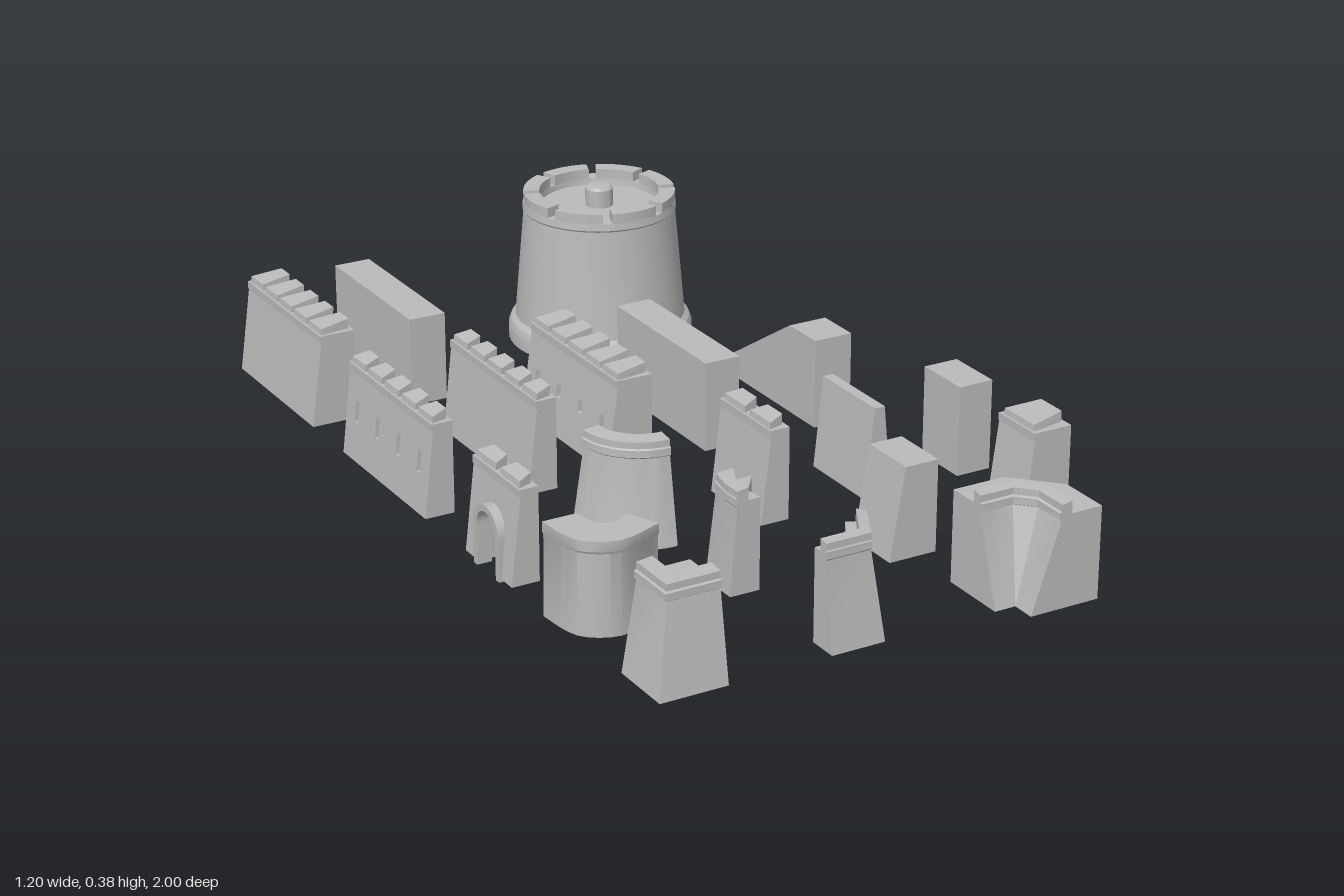
import * as THREE from 'three';
import { toCreasedNormals } from 'three/addons/utils/BufferGeometryUtils.js';
import { ConvexGeometry } from 'three/addons/geometries/ConvexGeometry.js';

const Y0 = 0.007;   // foot of the walls
const TOP = 0.218;  // wall top

export function createModel() {
  const model = new THREE.Group();
  const stone = new THREE.MeshStandardMaterial({ color: 0xbababa, side: THREE.DoubleSide });
  stone.name = 'stone';

  const add = (parent, geo, name) => {
    const mesh = new THREE.Mesh(geo, stone);
    mesh.name = name;
    parent.add(mesh);
    return mesh;
  };
  const group = (name) => {
    const g = new THREE.Group();
    g.name = name;
    model.add(g);
    return g;
  };
  const box = (parent, name, x0, x1, y0, y1, z0, z1) =>
    add(parent, new THREE.BoxGeometry(x1 - x0, y1 - y0, z1 - z0), name)
      .position.set((x0 + x1) / 2, (y0 + y1) / 2, (z0 + z1) / 2);

  // Side outline (drawn in -z, y) pushed through x0..x1, faces leaning in, open below
  function sideExtrude(shape, x0, x1, leanL = 0, leanR = 0) {
    const src = new THREE.ExtrudeGeometry(shape, { depth: 1, bevelEnabled: false, curveSegments: 12 });
    const p = src.attributes.position;
    const out = [];
    for (let i = 0; i < p.count; i += 3) {
      if ([0, 1, 2].every((k) => p.getY(i + k) < Y0 + 1e-4)) continue;
      for (let k = i; k < i + 3; k++) {
        const f = (p.getY(k) - Y0) / (TOP - Y0);
        const x = p.getZ(k) < 0.5 ? x0 + leanL * f : x1 - leanR * f;
        out.push(x, p.getY(k), -p.getX(k));
      }
    }
    const geo = new THREE.BufferGeometry();
    geo.setAttribute('position', new THREE.Float32BufferAttribute(out, 3));
    geo.computeVertexNormals();
    return geo;
  }

  // Arch band standing against a wall face
  function archTrim(parent, z, rIn, rOut, spring, x0, x1) {
    const s = new THREE.Shape();
    s.moveTo(-z - rOut, 0).lineTo(-z - rOut, spring);
    s.absarc(-z, spring, rOut, Math.PI, 0, true);
    s.lineTo(-z + rOut, 0).lineTo(-z + rIn, 0).lineTo(-z + rIn, spring);
    s.absarc(-z, spring, rIn, 0, Math.PI, false);
    s.lineTo(-z - rIn, 0);
    add(parent, sideExtrude(s, x0, x1), 'archTrim');
  }

  // Straight wall along z: optional lean, merlons, window slits and gateway
  function straightWall(name, x0, x1, z0, z1, o = {}) {
    const g = group(name);
    const { lean = 0, leanR = 0, merlons = 0, slits = 0, gate } = o;
    const s = new THREE.Shape();
    s.moveTo(-z1, Y0);
    if (gate) {
      const c = -(z0 + z1) / 2;
      s.lineTo(c - gate.r, Y0).lineTo(c - gate.r, gate.spring);
      s.absarc(c, gate.spring, gate.r, Math.PI, 0, true);
      s.lineTo(c + gate.r, Y0);
    }
    s.lineTo(-z0, Y0).lineTo(-z0, TOP).lineTo(-z1, TOP);
    for (let i = 0; i < slits; i++) {
      const c = -(z0 + ((i + 0.5) / slits) * (z1 - z0));
      const [w, a, b] = o.slitSize;
      const h = new THREE.Path();
      h.moveTo(c - w, a).lineTo(c - w, b).lineTo(c + w, b).lineTo(c + w, a);
      s.holes.push(h);
    }
    add(g, sideExtrude(s, x0, x1, lean, leanR), 'wallBody');
    if (merlons) {
      box(g, 'cornice', x0 + lean - 0.004, x1, 0.204, 0.222, z0, z1);
      const pitch = (z1 - z0) / merlons;
      for (let i = 0; i < merlons; i++) {
        const c = z0 + (i + 0.5) * pitch;
        const pts = [];
        for (const [x, w, y] of [[x0 + lean, 0.43, 0.236], [x1 - 0.008, 0.31, 0.245]]) {
          for (const k of [-1, 1]) {
            pts.push(new THREE.Vector3(x, 0.215, c + k * w * pitch));
            pts.push(new THREE.Vector3(x + 0.003, y, c + k * (w - 0.03) * pitch));
          }
        }
        add(g, new ConvexGeometry(pts), 'merlon');
      }
    }
    return g;
  }

  // Bent wall: a cross-section carried over stations [outer x, outer z, inner x, inner z]
  function bentWall(name, stations, section) {
    const at = ([ox, oz, ix, iz], [t, y]) => [ox + (ix - ox) * t, y, oz + (iz - oz) * t];
    const out = [];
    const tri = (...pts) => pts.forEach((q) => out.push(...q));
    for (let i = 0; i + 1 < stations.length; i++) {
      for (let j = 0; j + 1 < section.length; j++) {
        const a = at(stations[i], section[j]);
        const b = at(stations[i + 1], section[j]);
        const c = at(stations[i + 1], section[j + 1]);
        const d = at(stations[i], section[j + 1]);
        tri(a, b, c);
        tri(a, c, d);
      }
    }
    // End walls
    const faces = THREE.ShapeUtils.triangulateShape(section.map(([t, y]) => new THREE.Vector2(t, y)), []);
    for (const st of [stations[0], stations[stations.length - 1]]) {
      for (const f of faces) tri(...f.map((k) => at(st, section[k])));
    }
    const geo = new THREE.BufferGeometry();
    geo.setAttribute('position', new THREE.Float32BufferAttribute(out, 3));
    add(group(name), toCreasedNormals(geo, 0.5), 'wallBody');
  }
  // Leaning outer face, cornice, parapet and lower walkway
  const parapet = (s, p) => [[0, Y0], [s, 0.203], [s - 0.03, 0.206], [s - 0.03, 0.222], [s, 0.225],
    [s, 0.24], [p, 0.244], [p, 0.216], [1, 0.216], [1, Y0]];

  // Long walls
  straightWall('longThickWall', -0.6, -0.49, -1, -0.6, { lean: 0.03, merlons: 5 });
  straightWall('longPlainWall', -0.35, -0.262, -1, -0.6);
  straightWall('longSlitWall', -0.6, -0.53, -0.44, -0.03,
    { lean: 0.025, merlons: 5, slits: 4, slitSize: [0.008, 0.095, 0.145] });
  straightWall('longThinWall', -0.35, -0.28, -0.44, -0.03, { lean: 0.025, merlons: 5 });
  straightWall('longWindowWall', -0.15, -0.037, -0.44, -0.04,
    { lean: 0.03, merlons: 5, slits: 4, slitSize: [0.01, 0.095, 0.125] });
  const arcade = straightWall('arcadeWall', 0.1, 0.187, -0.44, -0.04);
  for (const z of [-0.13, -0.245, -0.36]) archTrim(arcade, z, 0.035, 0.048, 0.09, 0.18, 0.196);

  // Ramp
  const ramp = new THREE.Shape();
  ramp.moveTo(0.03, Y0).lineTo(0.44, Y0).lineTo(0.44, 0.03).lineTo(0.14, TOP).lineTo(0.03, TOP);
  add(group('ramp'), sideExtrude(ramp, 0.38, 0.475), 'rampBody');

  // Short walls
  const gate = straightWall('gateWall', -0.595, -0.53, 0.15, 0.358,
    { lean: 0.025, merlons: 2, gate: { r: 0.044, spring: 0.095 } });
  archTrim(gate, 0.254, 0.042, 0.057, 0.095, -0.6, -0.565);
  archTrim(gate, 0.254, 0.042, 0.057, 0.095, -0.535, -0.526);
  straightWall('shortWall', 0.003, 0.072, 0.15, 0.358, { lean: 0.025, merlons: 2 });
  straightWall('shortPlainWall', 0.265, 0.332, 0.15, 0.358, { lean: 0.022, leanR: 0.02 });
  straightWall('plainBlock', 0.51, 0.595, 0.215, 0.353);
  straightWall('leaningBlock', 0.14, 0.255, 0.51, 0.648, { lean: 0.035 });
  straightWall('endWall', 0.475, 0.593, 0.515, 0.648, { lean: 0.028, merlons: 1 });

  // Curved quarter wall
  const quarter = [];
  for (let i = 0; i <= 12; i++) {
    const a = (i / 12) * Math.PI / 2;
    const c = Math.cos(a), s = Math.sin(a);
    quarter.push([-0.2 - 0.165 * c, 0.19 + 0.165 * s, -0.2 - 0.052 * c, 0.19 + 0.052 * s]);
  }
  bentWall('curvedWall', quarter, parapet(0.28, 0.6));

  // Plain bend
  const spline = (pts) => new THREE.SplineCurve(pts.map(([x, z]) => new THREE.Vector2(x, z)));
  const outer = spline([[-0.6, 0.505], [-0.582, 0.615], [-0.505, 0.66], [-0.402, 0.628]]);
  const inner = spline([[-0.522, 0.505], [-0.512, 0.555], [-0.48, 0.578], [-0.433, 0.56]]);
  const bend = [];
  for (let i = 0; i <= 12; i++) {
    const o = outer.getPoint(i / 12), n = inner.getPoint(i / 12);
    bend.push([o.x, o.y, n.x, n.y]);
  }
  bentWall('plainBend', bend, [[0, Y0], [0.03, 0.19], [0, 0.195], [0, TOP], [1, TOP], [1, Y0]]);

  // Angled corners
  bentWall('smallCorner', [[-0.23, 0.52, -0.12, 0.52], [-0.23, 0.57, -0.165, 0.58],
    [-0.23, 0.62, -0.16, 0.62]], parapet(0.22, 0.6));
  bentWall('squareCorner', [[-0.585, 0.8, -0.43, 0.8], [-0.585, 0.95, -0.43, 0.8],
    [-0.43, 0.95, -0.43, 0.8]], parapet(0.22, 0.45));
  bentWall('obtuseCorner', [[-0.19, 0.945, -0.19, 0.875], [-0.065, 0.945, -0.115, 0.875],
    [-0.01, 0.835, -0.075, 0.805]], parapet(0.4, 0.7));
  bentWall('insideCorner', [[0.2, 0.945, 0.2, 0.785], [0.25, 0.945, 0.325, 0.785],
    [0.25, 0.945, 0.415, 0.88], [0.25, 1, 0.415, 1]], parapet(0.4, 0.55));

  // Round tower
  const tower = group('roundTower');
  tower.position.set(0.242, 0, -0.78);
  const profile = [[0.22, Y0], [0.22, 0.04], [0.214, 0.055], [0.203, 0.065], [0.18, 0.328],
    [0.183, 0.332], [0.181, 0.348], [0.142, 0.348], [0.14, 0.334], [0, 0.334]];
  const body = new THREE.LatheGeometry(profile.map(([r, y]) => new THREE.Vector2(r, y)), 48);
  add(tower, toCreasedNormals(body, 0.4), 'towerBody');
  for (let i = 0; i < 8; i++) {
    const a = (i / 8) * Math.PI * 2, h = 0.33;
    const s = new THREE.Shape();
    s.absarc(0, 0, 0.18, a - h, a + h, false);
    s.absarc(0, 0, 0.142, a + h, a - h, true);
    const merlon = new THREE.ExtrudeGeometry(s, { depth: 0.027, bevelEnabled: false, curveSegments: 6 });
    merlon.rotateX(-Math.PI / 2).translate(0, 0.345, 0);
    add(tower, merlon, 'towerMerlon');
  }
  const knob = [[0.033, 0.334], [0.033, 0.376], [0.028, 0.382], [0, 0.385]];
  add(tower, toCreasedNormals(new THREE.LatheGeometry(
    knob.map(([r, y]) => new THREE.Vector2(r, y)), 24), 0.5), 'towerKnob');

  return model;
}
